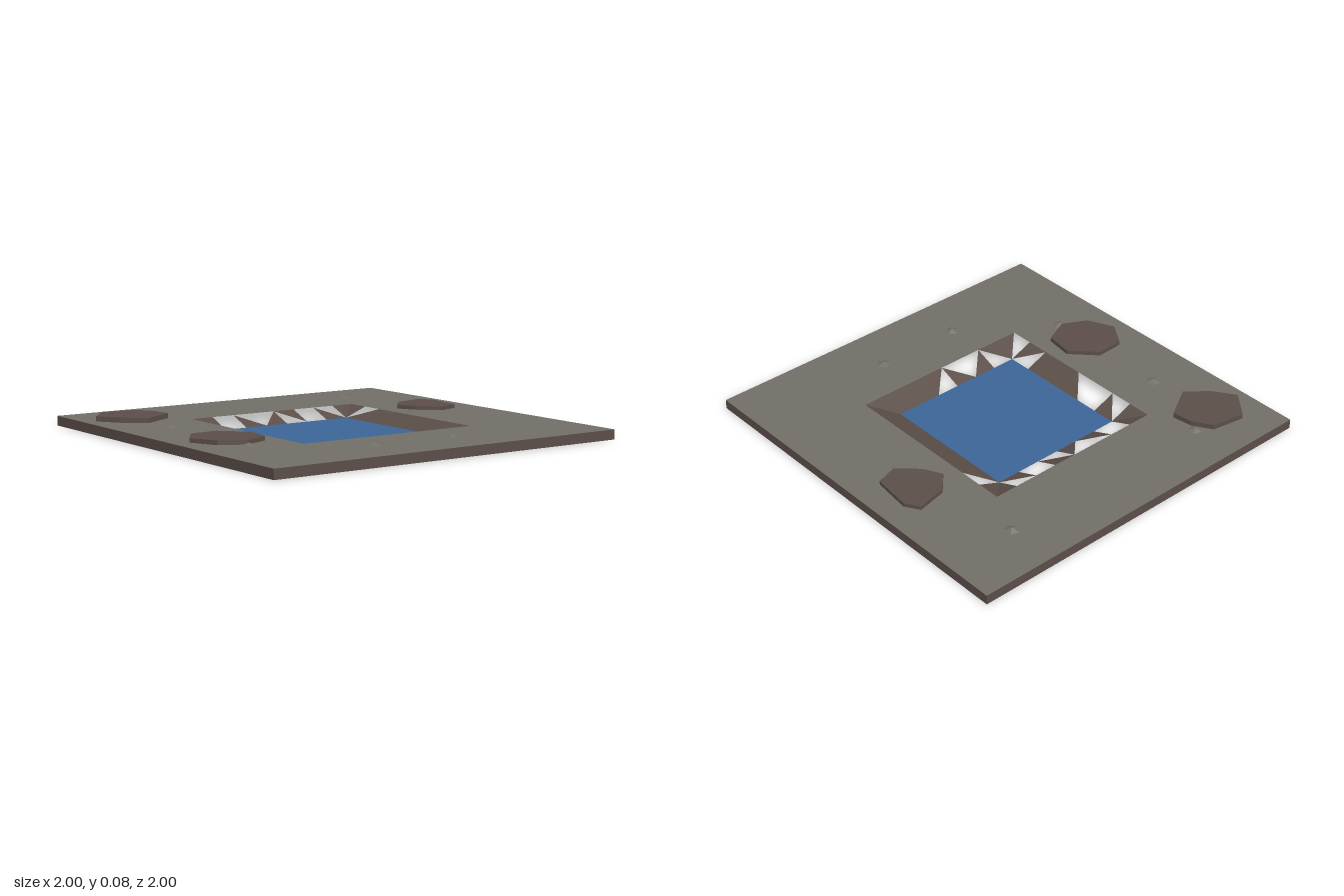
import * as THREE from 'three';

const material = (name, color) => new THREE.MeshStandardMaterial({ name, color, flatShading: true, side: THREE.DoubleSide });

const TOP = 0.05, HOLE = 0.5, CELL = 0.125;

// Bank tiles per side, each eight cells long: F = whole cell, . = gap,
// a b c d = only the half at the north-west, north-east, south-west, south-east.
const NORTH = 'FdFFFFFF', SOUTH = 'Fb.bFFdb', WEST = 'Fd.abd.F', EAST = 'FFFbacdb';

function bankGeometry() {
  const positions = [];
  const vertex = (i, j) => {
    const rim = i === 0 || j === 0 || i === 8 || j === 8;
    return [i * CELL - HOLE, rim ? TOP : 0, j * CELL - HOLE];
  };
  const addCell = (i, j, code) => {
    const nw = vertex(i, j), ne = vertex(i + 1, j), sw = vertex(i, j + 1), se = vertex(i + 1, j + 1);
    const half = { a: [nw, sw, ne], b: [ne, nw, se], c: [sw, se, nw], d: [se, ne, sw] };
    // Whole corner cells fold along the line from the rim corner to the water
    const pair = (i < 4) === (j < 4) ? 'bc' : 'ad';
    const halves = code === 'F' ? pair : code === '.' ? '' : code;
    for (const h of halves) positions.push(...half[h].flat());
  };
  for (let k = 0; k < 8; k++) {
    addCell(k, 0, NORTH[k]);
    addCell(k, 7, SOUTH[k]);
    if (k > 0 && k < 7) {
      addCell(0, k, WEST[k]);
      addCell(7, k, EAST[k]);
    }
  }
  const geometry = new THREE.BufferGeometry();
  geometry.setAttribute('position', new THREE.Float32BufferAttribute(positions, 3));
  geometry.computeVertexNormals();
  return geometry;
}

// Square outline centred on the origin
const square = (h) => [[-h, -h], [h, -h], [h, h], [-h, h]].map(([x, y]) => new THREE.Vector2(x, y));

// Flat stones: thickness and outline as x, z pairs
const STONES = [
  [0.02, [[-0.34, -0.83], [-0.265, -0.875], [-0.06, -0.853], [-0.025, -0.74], [-0.12, -0.64], [-0.215, -0.59], [-0.305, -0.67]]],
  [0.026, [[-0.805, 0.655], [-0.705, 0.595], [-0.6, 0.58], [-0.5, 0.75], [-0.595, 0.86], [-0.705, 0.935], [-0.835, 0.83]]],
  [0.022, [[0.04, 0.69], [0.165, 0.57], [0.31, 0.59], [0.37, 0.725], [0.305, 0.85], [0.165, 0.915], [0.045, 0.835]]],
];

const PEBBLES = [[-0.73, -0.61], [0.725, -0.2], [0.73, 0.265], [-0.31, 0.73], [0.395, 0.735], [-0.745, 0.585]];

export function createModel() {
  const model = new THREE.Group();
  model.name = 'pond';
  const stone = material('greyGround', 0x716f67);
  const earth = material('brownEarth', 0x5b4e49);
  const blue = material('blueWater', 0x3b6597);

  const add = (name, geometry, mat, x = 0, y = 0, z = 0) => {
    const mesh = new THREE.Mesh(geometry, mat);
    mesh.name = name;
    mesh.position.set(x, y, z);
    model.add(mesh);
    return mesh;
  };

  // Ground sheet with a square opening
  const ground = new THREE.Shape(square(1));
  ground.holes.push(new THREE.Path(square(HOLE).reverse()));
  add('ground', new THREE.ShapeGeometry(ground).rotateX(-Math.PI / 2), stone, 0, TOP);

  // Outer walls, open underneath
  const walls = new THREE.CylinderGeometry(Math.SQRT2, Math.SQRT2, TOP, 4, 1, true).rotateY(Math.PI / 4);
  add('outerWalls', walls, earth, 0, TOP / 2);

  // Broken sloping bank and the water inside it
  add('bank', bankGeometry(), earth);
  add('water', new THREE.PlaneGeometry(0.75, 0.75).rotateX(-Math.PI / 2), blue);

  // Flat stones lying on the ground
  for (const [depth, outline] of STONES) {
    const shape = new THREE.Shape(outline.map(([x, z]) => new THREE.Vector2(x, -z)));
    const slab = new THREE.ExtrudeGeometry(shape, { depth, bevelEnabled: false }).rotateX(-Math.PI / 2);
    add('flatStone', slab, earth, 0, TOP);
  }

  // Small five-sided pebbles
  PEBBLES.forEach(([x, z], i) => {
    add('pebble', new THREE.ConeGeometry(0.038, 0.014, 5, 1, true), stone, x, TOP + 0.007, z).rotation.y = i * 0.5;
  });

  return model;
}
